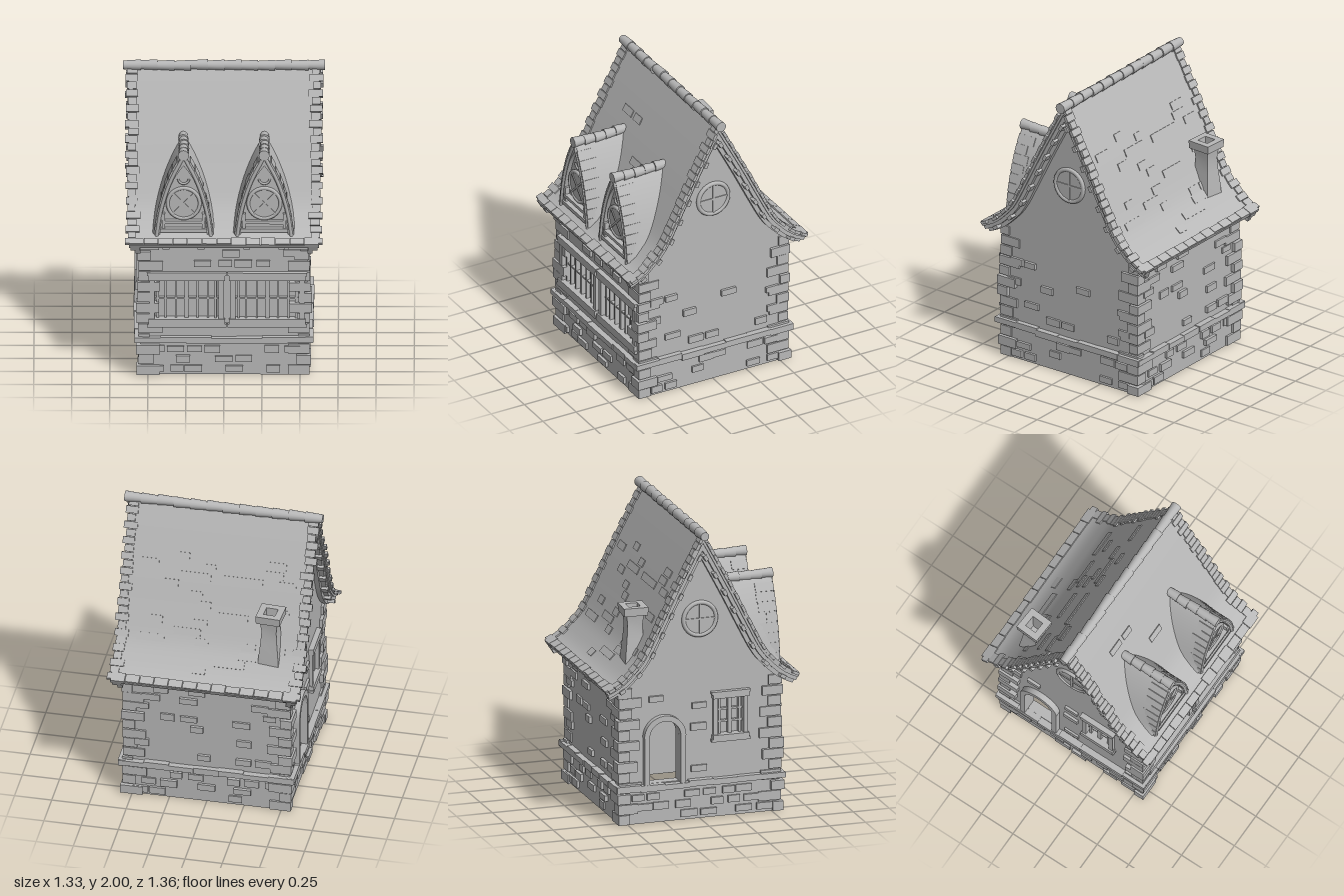
import * as THREE from 'three';
import { toCreasedNormals } from 'three/addons/utils/BufferGeometryUtils.js';

const stone = new THREE.MeshStandardMaterial({ color: 0xb8b8b8 });
stone.name = 'stone grey';

let seed = 11;
const rnd = () => (seed = (seed * 16807) % 2147483647) / 2147483647;
const jit = (a) => (rnd() - 0.5) * 2 * a;

const V = (x, y) => new THREE.Vector2(x, y);
const group = (parent, name) => {
  const g = new THREE.Group();
  g.name = name;
  parent.add(g);
  return g;
};
const mesh = (parent, name, geo, x = 0, y = 0, z = 0) => {
  const m = new THREE.Mesh(geo, stone);
  m.name = name;
  m.position.set(x, y, z);
  parent.add(m);
  return m;
};
const box = (parent, name, w, h, d, x, y, z) => mesh(parent, name, new THREE.BoxGeometry(w, h, d), x, y, z);
const extrude = (shape, depth) =>
  toCreasedNormals(new THREE.ExtrudeGeometry(shape, { depth, bevelEnabled: false, curveSegments: 16 }), 0.5);

// Swept roof profile, as (distance from ridge, height)
const slope = new THREE.SplineCurve([V(0, 1.96), V(0.11, 1.755), V(0.22, 1.545), V(0.32, 1.345), V(0.42, 1.155),
  V(0.5, 1.06), V(0.58, 0.99), V(0.67, 0.945)]);
const offsetSlope = (o) => {
  const pts = [V(0, slope.getPoint(0).y - 2.15 * o)];
  for (let i = 1; i <= 28; i++) {
    const p = slope.getPointAt(i / 28), t = slope.getTangentAt(i / 28);
    const q = V(p.x + t.y * o, p.y - t.x * o);
    if (q.x > 0.01) pts.push(q);
  }
  return pts;
};
const bothSides = (pts) => [...pts.slice(1).reverse().map((p) => V(-p.x, p.y)), ...pts];
const roofZ = (y) => {
  let t = 0;
  while (t < 1 && slope.getPointAt(t).y > y) t += 0.01;
  return slope.getPointAt(Math.min(t, 1)).x;
};
// Layer of the roof between two depths, running along x
function roofBand(parent, name, o1, o2, width, x) {
  const shape = new THREE.Shape([...bothSides(offsetSlope(o1)), ...bothSides(offsetSlope(o2)).reverse()]);
  const geo = extrude(shape, width);
  geo.translate(0, 0, -width / 2).rotateY(Math.PI / 2);
  mesh(parent, name, geo, x);
}
function roofTile(side, x, t, w, l, h = 0.016, drop = 0) {
  const p = slope.getPointAt(t), d = slope.getTangentAt(t);
  const m = box(side, 'roofTile', w, h, l, x, p.y - d.x * drop, p.x + d.y * drop);
  m.rotation.x = Math.atan2(-d.y, d.x);
}

function windowBars(wall, u, y, w, h, cols, rows, f) {
  const g = group(wall, 'window');
  g.position.set(u, y, 0.55);
  box(g, 'pane', w, h, 0.012, 0, 0, -0.035);
  for (const s of [-1, 1]) {
    box(g, 'frameSide', f, h + 2 * f, 0.1, s * (w + f) / 2, 0, -0.025);
    box(g, 'frameRail', w + 2.4 * f, f, 0.11, 0, s * (h + f) / 2, -0.02);
    box(g, 'trim', w + 2.9 * f, f * 0.6, 0.05, 0, s * (h / 2 + f * 1.25), 0.01);
    box(g, 'innerSash', 0.015, h, 0.06, s * (w / 2 - 0.02), 0, -0.03);
  }
  for (let i = 1; i < cols; i++)
    box(g, 'mullion', i * 2 === cols ? 0.026 : 0.012, h, 0.06, -w / 2 + (w * i) / cols, 0, -0.03);
  for (let j = 1; j < rows; j++) box(g, 'glazingBar', w, 0.012, 0.05, 0, -h / 2 + (h * j) / rows, -0.03);
}

function roundWindow(parent, y, z, r, tube, angle) {
  const g = group(parent, 'roundWindow');
  g.position.set(0, y, z);
  mesh(g, 'ring', new THREE.TorusGeometry(r, tube, 8, 32));
  mesh(g, 'pane', new THREE.CylinderGeometry(r, r, 0.01, 32).rotateX(Math.PI / 2));
  for (const a of [angle, angle + Math.PI / 2]) box(g, 'bar', r * 2, 0.013, 0.022, 0, 0, 0).rotation.z = a;
}

const rectHole = (u, y, w, h) =>
  new THREE.Path([V(u - w / 2, y - h / 2), V(u + w / 2, y - h / 2), V(u + w / 2, y + h / 2), V(u - w / 2, y + h / 2)]);

// Wall in its own frame: x along it, z outward; avoid holds [u, y, halfWidth, halfHeight]
function makeWall(house, name, turn, outline, holes, avoid, density) {
  const wall = group(house, name);
  wall.rotation.y = turn;
  const shape = new THREE.Shape(outline);
  shape.holes.push(...holes);
  mesh(wall, 'wallPanel', extrude(shape, 0.07), 0, 0, 0.48);
  for (let i = 0; i < 7; i++)
    box(wall, 'ledgeStone', 0.168, 0.04 + jit(0.006), 0.05, -0.501 + i * 0.167, 0.25 + jit(0.006), 0.565 + jit(0.006));
  // Plinth courses and scattered wall bricks
  for (let row = 0; row < 11; row++) {
    const plinth = row < 3, y = plinth ? 0.045 + row * 0.068 : 0.345 + (row - 3) * 0.072;
    for (let u = -0.44 + (row % 2) * 0.06; u < 0.46; u += 0.125) {
      if (rnd() > (plinth ? 0.6 : density)) continue;
      if (avoid.some((a) => Math.abs(u - a[0]) < a[2] + 0.05 && Math.abs(y - a[1]) < a[3] + 0.03)) continue;
      box(wall, 'brick', 0.1 + jit(0.02), 0.045 + jit(0.006), 0.04, u + jit(0.015), y, 0.546 + jit(0.006));
    }
  }
  return wall;
}

function makeDormer(side, x) {
  const d = group(side, 'dormer');
  d.position.x = x;
  const outer = [V(0.19, 0.99), V(0.168, 1.14), V(0.132, 1.28), V(0.087, 1.4), V(0.036, 1.5), V(0, 1.55)];
  const inner = [V(0.155, 0.99), V(0.137, 1.14), V(0.1, 1.28), V(0.055, 1.39), V(0, 1.47)];
  const curve = new THREE.SplineCurve(outer);
  const arch = (pts) => {
    const p = new THREE.SplineCurve(pts).getPoints(14);
    return [...p, ...p.slice(0, -1).reverse().map((q) => V(-q.x, q.y))];
  };
  // Extrude an arch, then push its rear edge back into the main roof
  const sweep = (name, pts, front) => {
    const geo = new THREE.ExtrudeGeometry(new THREE.Shape(pts), { depth: 1, bevelEnabled: false });
    const p = geo.attributes.position;
    for (let i = 0; i < p.count; i++) {
      if (p.getZ(i) > 0.5) p.setZ(i, front);
      else p.setXYZ(i, p.getX(i) * 1.1, p.getY(i), Math.min(roofZ(p.getY(i)) - 0.015, front - 0.01));
    }
    geo.deleteAttribute('normal');
    geo.computeVertexNormals();
    mesh(d, name, toCreasedNormals(geo, 0.5));
  };
  sweep('dormerShell', [...arch(outer), ...arch(inner).reverse()], 0.585);
  sweep('dormerFront', arch(inner), 0.555);
  // Arched bargeboard
  for (const s of [-1, 1]) {
    const path = new THREE.CatmullRomCurve3(outer.map((p) => new THREE.Vector3(s * Math.max(p.x - 0.012, 0), p.y - 0.01, 0.586)));
    mesh(d, 'bargeboard', new THREE.TubeGeometry(path, 24, 0.013, 6));
    for (let i = 0; i < 8; i++) {
      const p = curve.getPointAt((i + 0.5) / 9), t = curve.getTangentAt((i + 0.5) / 9);
      const len = 0.07 + rnd() * 0.07;
      const tile = box(d, 'sideTile', 0.014, 0.06, len, s * p.x, p.y, 0.592 - len / 2);
      tile.rotation.z = -s * Math.atan2(t.x, t.y);
    }
  }
  roundWindow(d, 1.2, 0.56, 0.105, 0.013, Math.PI / 4);
  box(d, 'sill', 0.28, 0.022, 0.05, 0, 1.075, 0.565);
  box(d, 'lowerRail', 0.31, 0.025, 0.05, 0, 1.02, 0.57);
  for (const s of [-1, 1]) box(d, 'post', 0.02, 0.13, 0.04, s * 0.132, 1.07, 0.565);
  mesh(d, 'smallArch', new THREE.TorusGeometry(0.035, 0.008, 6, 12, Math.PI).rotateZ(Math.PI), 0, 1.37, 0.558);
  for (let i = 0; i < 5; i++) {
    const cap = mesh(d, 'dormerRidgeTile', new THREE.CylinderGeometry(0.036, 0.029, 0.088, 12), jit(0.004),
      1.548 - Math.sin((i + 0.5) * 0.63) * 0.008, 0.555 - i * 0.078);
    cap.rotation.x = Math.PI / 2;
  }
}

export function createModel() {
  const house = new THREE.Group();
  house.name = 'cottage';

  // Walls
  const flat = [V(-0.55, 0), V(0.55, 0), V(0.55, 0.97), V(-0.55, 0.97)];
  const gable = [V(-0.545, 0), V(0.545, 0),
    ...bothSides(offsetSlope(0.025)).filter((p) => Math.abs(p.x) < 0.545).reverse()];
  const q = Math.PI / 2, wins = [-0.245, 0.285];
  const front = makeWall(house, 'frontWall', 0, flat, wins.map((u) => rectHole(u, 0.53, 0.42, 0.27)),
    wins.map((u) => [u, 0.53, 0.25, 0.2]), 0.4);
  wins.forEach((u) => windowBars(front, u, 0.53, 0.42, 0.27, 6, 2, 0.035));
  makeWall(house, 'backWall', 2 * q, flat, [], [], 0.28);
  const right = makeWall(house, 'rightWall', q, gable, [], [[0, 0.85, 0.6, 0.1]], 0.28);

  // Left wall with arched doorway and small window
  const door = new THREE.Path();
  door.moveTo(-0.36, 0.27).lineTo(-0.14, 0.27).lineTo(-0.14, 0.59);
  door.absarc(-0.25, 0.59, 0.11, 0, Math.PI, false).lineTo(-0.36, 0.27);
  const left = makeWall(house, 'leftWall', -q, gable, [door, rectHole(0.21, 0.69, 0.18, 0.25)],
    [[-0.25, 0.5, 0.15, 0.27], [0.21, 0.69, 0.15, 0.2]], 0.2);
  windowBars(left, 0.21, 0.69, 0.18, 0.25, 2, 3, 0.03);
  for (const s of [-1, 1]) box(left, 'doorPost', 0.035, 0.34, 0.11, -0.25 + s * 0.125, 0.42, 0.535);
  const hood = new THREE.Shape().absarc(0, 0, 0.145, 0, Math.PI, false);
  hood.absarc(0, 0, 0.108, Math.PI, 0, true);
  mesh(left, 'doorArch', extrude(hood, 0.11), -0.25, 0.59, 0.48);
  for (const w of [left, right]) roundWindow(w, 1.37, 0.556, 0.112, 0.015, 0);

  // Corner stones, long and short in turn
  for (const sx of [-1, 1]) for (const sz of [-1, 1]) {
    const corner = group(house, 'cornerStones');
    for (let i = 0; i < 13; i++) {
      const long = i % 2 === 0, out = 0.558 + rnd() * 0.022;
      const w = (long ? 0.15 : 0.085) + jit(0.015), d = (long ? 0.085 : 0.15) + jit(0.015);
      box(corner, 'cornerStone', w, 0.064 + jit(0.004), d, sx * (out - w / 2), 0.036 + i * 0.0725, sz * (out - d / 2));
    }
  }

  // Roof shell and layered rake boards
  const roof = group(house, 'roof');
  roofBand(roof, 'roofShell', 0, 0.025, 1.25, 0);
  for (const s of [-1, 1]) {
    roofBand(roof, 'rakeBoard', 0.024, 0.05, 0.06, s * 0.585);
    roofBand(roof, 'lowerRakeBoard', 0.05, 0.078, 0.035, s * 0.565);
  }
  // Tiles on each slope
  for (const f of [1, -1]) {
    const side = group(roof, f > 0 ? 'frontSlope' : 'backSlope');
    side.rotation.y = f > 0 ? 0 : Math.PI;
    for (const s of [-1, 1]) {
      for (let i = 0; i < 24; i++) {
        const w = (i % 2 ? 0.085 : 0.06) + jit(0.01);
        roofTile(side, s * ((i % 2 ? 0.648 : 0.634) + jit(0.005) - w / 2), (i + 0.6) / 24.3, w, 0.046, 0.02);
      }
      for (let i = 0; i < 8; i++) roofTile(side, s * 0.6, 0.12 + i * 0.115, 0.055, 0.04, 0.024, 0.056);
    }
    for (let i = 0; i < 13; i++) roofTile(side, -0.576 + i * 0.096, 0.975, 0.092, 0.06 + jit(0.012), 0.02);
    for (let i = 0; i < 34; i++) {
      const x = jit(0.48), t = 0.28 + Math.floor(rnd() * 13) * 0.05;
      if (f > 0 && t > 0.36 && Math.abs(Math.abs(x) - 0.265) < 0.22) continue;
      roofTile(side, x, t, 0.08 + rnd() * 0.05, 0.05, 0.012);
    }
    for (const x of [-0.38, -0.15, 0.15, 0.38]) box(side, 'rafterEnd', 0.045, 0.045, 0.09, x, 0.92, 0.575);
    if (f > 0) for (const x of [-0.265, 0.265]) makeDormer(side, x);
  }
  // Ridge tiles
  for (let i = 0; i < 12; i++) {
    const cap = mesh(roof, 'ridgeTile', new THREE.CylinderGeometry(0.029, 0.036, 0.118, 14), -0.606 + i * 0.11,
      1.963 + jit(0.002), jit(0.003));
    cap.rotation.z = q;
  }

  // Chimney: square section, waisted shaft, hollow cap
  const profile = [[0.075, 0.98], [0.068, 1.12], [0.056, 1.24], [0.05, 1.33], [0.058, 1.4], [0.08, 1.405], [0.083, 1.46],
    [0.04, 1.46], [0.034, 1.3], [0, 1.3]].map(([r, y]) => V(r * Math.SQRT2, y));
  const stack = toCreasedNormals(new THREE.LatheGeometry(profile, 4).rotateY(Math.PI / 4), 0.4);
  mesh(house, 'chimney', stack, -0.4, 0, -0.41).rotation.y = -0.06;

  return house;
}
